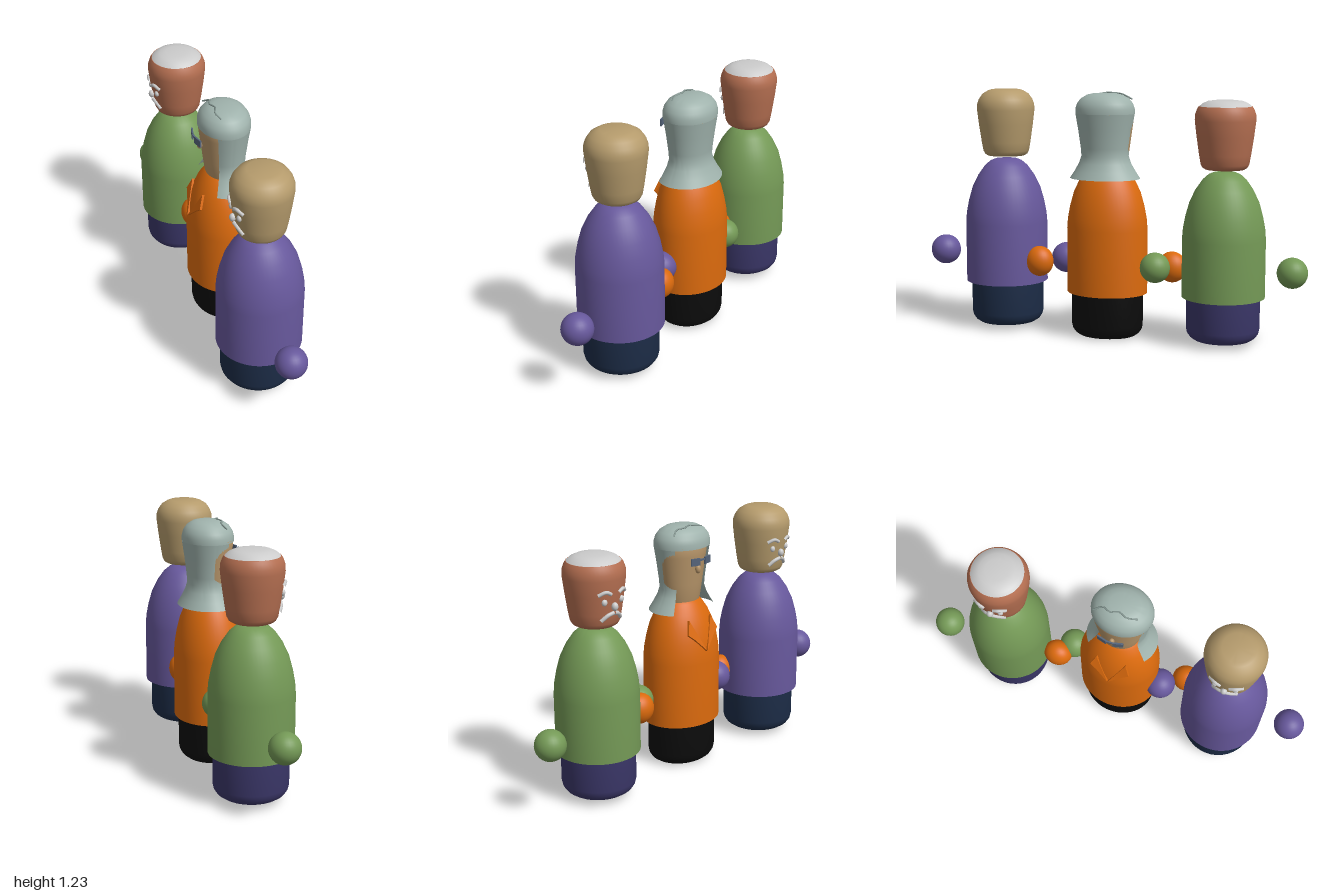
import * as THREE from 'three';
import { toCreasedNormals } from 'three/addons/utils/BufferGeometryUtils.js';

const WHITE = 0xc8c8c8;

function add(parent, name, geometry, color, x = 0, y = 0, z = 0, side = THREE.FrontSide) {
  const mesh = new THREE.Mesh(geometry, new THREE.MeshStandardMaterial({ color, side }));
  mesh.name = name;
  mesh.position.set(x, y, z);
  parent.add(mesh);
  return mesh;
}

// Turned solid or shell from [radius, height] pairs, optionally oval
function turned(profile, sx = 1, sz = 1, start = 0, sweep = Math.PI * 2) {
  const points = profile.map(([r, y]) => new THREE.Vector2(r, y));
  const g = new THREE.LatheGeometry(points, 48, start, sweep);
  g.scale(sx, 1, sz);
  return toCreasedNormals(g, 0.65);
}

function ball(rx, ry, rz) {
  return new THREE.SphereGeometry(1, 28, 18).scale(rx, ry, rz);
}

function tube(points, radius) {
  const curve = new THREE.CatmullRomCurve3(points.map(p => new THREE.Vector3(...p)));
  return new THREE.TubeGeometry(curve, 12, radius, 8);
}

// Rounded base with a flat underside
function legs(parent, r, y, color, x = 0, sx = 1) {
  const profile = [[0, y], [r - 0.06, y], [r - 0.037, y + 0.005], [r - 0.018, y + 0.018],
    [r - 0.005, y + 0.037], [r, y + 0.06], [r, 0.3], [0, 0.3]];
  add(parent, 'legs', turned(profile, sx, 1), color, x);
}

// Bell-shaped coat from its hem to its shoulders
function coat(parent, r, hem, top, color, x = 0, sx = 1) {
  const h = top - 0.875;
  const shape = [[0, hem], [r, hem], [r, 0.55 + h], [r * 0.98, 0.60 + h], [r * 0.925, 0.66 + h],
    [r * 0.83, 0.73 + h], [r * 0.69, 0.79 + h], [r * 0.52, 0.84 + h], [r * 0.38, 0.865 + h], [r * 0.26, top], [0, top]];
  add(parent, 'coat', turned(shape, sx, 1), color, x);
}

const HEAD = [[0, 0], [0.095, 0], [0.108, 0.008], [0.117, 0.025], [0.125, 0.07], [0.138, 0.16],
  [0.147, 0.235], [0.146, 0.262], [0.137, 0.288], [0.118, 0.315], [0.09, 0.332], [0.072, 0.338], [0, 0.338]];

// Brows, eyes and moustache on the -x side of a head
function face(parent, x, y) {
  for (const s of [-1, 1]) {
    add(parent, 'eyebrow', tube([[-0.14, 0.172, s * 0.022], [-0.137, 0.185, s * 0.05], [-0.116, 0.17, s * 0.08]], 0.009), WHITE, x, y);
    add(parent, 'eye', ball(0.012, 0.016, 0.014), WHITE, x - 0.125, y + 0.135, s * 0.05);
    add(parent, 'moustache', tube([[-0.132, 0.08, 0], [-0.124, 0.07, s * 0.03], [-0.107, 0.045, s * 0.058]], 0.01), WHITE, x, y);
  }
  add(parent, 'nose', ball(0.016, 0.02, 0.016), WHITE, x - 0.138, y + 0.11, 0);
}

function purpleFigure() {
  const g = new THREE.Group();
  g.name = 'purpleFigure';
  g.position.z = 0.57;
  legs(g, 0.185, 0.022, 0x1d2d48);
  coat(g, 0.21, 0.243, 0.875, 0x67589c, 0.003);
  add(g, 'head', turned(HEAD), 0xb59b6c, 0, 0.892);
  face(g, 0, 0.892);
  add(g, 'leftHand', ball(0.077, 0.077, 0.077), 0x67589c, 0.022, 0.38, 0.352);
  add(g, 'rightHand', ball(0.077, 0.077, 0.077), 0x67589c, 0, 0.38, -0.34);
  return g;
}

function greenFigure() {
  const g = new THREE.Group();
  g.name = 'greenFigure';
  g.position.set(-0.013, 0, -0.597);
  legs(g, 0.18, 0.025, 0x3b3769);
  coat(g, 0.203, 0.24, 0.85, 0x749956);
  // Head is cut below the crown, where a white cap of hair sits
  const head = [...HEAD.slice(0, 10).map(([r, y]) => [r, Math.min(y, 0.302)]), [0, 0.302]];
  head[9][0] = 0.128;
  add(g, 'head', turned(head), 0xb56f51, 0, 0.865);
  add(g, 'hairCap', turned([[0.127, 0], [0.11, 0.015], [0.085, 0.026], [0.055, 0.03], [0, 0.031]]), WHITE, 0, 1.166);
  face(g, 0, 0.865);
  add(g, 'leftHand', ball(0.075, 0.075, 0.075), 0x749956, 0.068, 0.37, 0.33);
  add(g, 'rightHand', ball(0.075, 0.075, 0.075), 0x749956, -0.05, 0.37, -0.33);
  return g;
}

function orangeFigure() {
  const g = new THREE.Group();
  g.name = 'orangeFigure';
  const ORANGE = 0xdb6a0d, HAIR = 0xa0b3ad, cx = 0.02;
  legs(g, 0.183, 0.002, 0x0c0c0c, cx, 0.85);
  coat(g, 0.205, 0.225, 0.875, ORANGE, cx, 0.86);
  add(g, 'face', turned([[0, 0.82], [0.085, 0.82], [0.1, 0.86], [0.112, 0.94], [0.132, 1.08],
    [0.138, 1.13], [0.12, 1.17], [0, 1.18]], 0.85, 1), 0xb8966a, cx);

  // Long hair shell, open towards the face and flared at the shoulders
  const gap = 0.95;
  add(g, 'longHair', turned([[0.178, 0.80], [0.155, 0.835], [0.132, 0.875], [0.12, 0.91], [0.123, 0.95], [0.136, 1.04],
    [0.15, 1.12]], 0.84, 1, -Math.PI / 2 + gap, 2 * (Math.PI - gap)), HAIR, cx + 0.005, 0, 0.01, THREE.DoubleSide);
  add(g, 'hairCrown', turned([[0.15, 1.12], [0.15, 1.145], [0.142, 1.17], [0.122, 1.195], [0.09, 1.213], [0.06, 1.22],
    [0, 1.222]], 0.84, 1), HAIR, cx + 0.005, 0, 0.01, THREE.DoubleSide);
  // Uneven parting across the crown
  add(g, 'parting', tube([[-0.04, 1.19, -0.11], [-0.02, 1.214, -0.07], [-0.035, 1.219, -0.03], [-0.02, 1.222, 0.01],
    [-0.035, 1.217, 0.05], [-0.02, 1.205, 0.1]], 0.004), 0x82948f);

  // Glasses and nose
  for (const s of [-1, 1]) {
    const lens = add(g, 'glassesLens', new THREE.BoxGeometry(0.008, 0.036, 0.05), 0x55647a, -0.118, 1.065, s * 0.04);
    lens.rotation.y = s * 0.25;
    // Open lapels on the chest
    const lapel = new THREE.Shape([[0, 0], [0.075, 0.17], [0.1, 0.1], [0.065, 0.07]].map(p => new THREE.Vector2(...p)));
    const flap = add(g, 'lapel', new THREE.ExtrudeGeometry(lapel, { depth: 0.012, bevelEnabled: false }), ORANGE, -0.152, 0.61, 0, THREE.DoubleSide);
    flap.rotation.set(0, -Math.PI / 2, 0);
    flap.scale.x = s;
    flap.rotateX(-0.32);
  }
  add(g, 'glassesBridge', new THREE.BoxGeometry(0.008, 0.008, 0.04), 0x55647a, -0.122, 1.072, 0);
  add(g, 'nose', ball(0.014, 0.022, 0.014), 0xb8966a, -0.095, 1.02, 0);

  add(g, 'leftHand', ball(0.064, 0.077, 0.072), ORANGE, 0.078, 0.365, 0.348);
  add(g, 'rightHand', ball(0.064, 0.077, 0.074), ORANGE, -0.022, 0.365, -0.33);
  return g;
}

export function createModel() {
  const model = new THREE.Group();
  model.name = 'threeFigures';
  model.add(purpleFigure(), orangeFigure(), greenFigure());
  return model;
}
